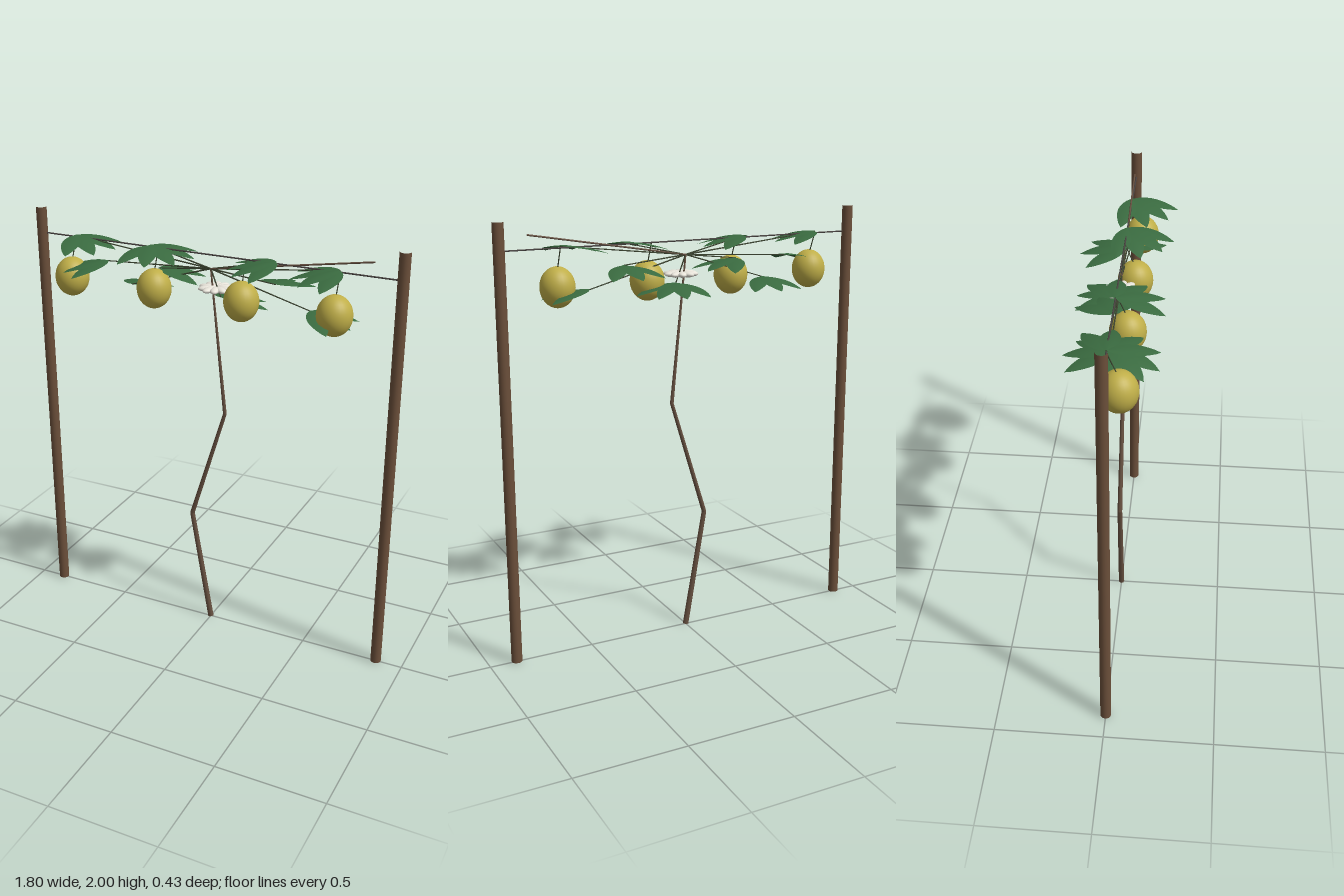
import * as THREE from 'three';

const mat = (name, color, side = THREE.FrontSide) => {
  const m = new THREE.MeshStandardMaterial({ color, side });
  m.name = name;
  return m;
};

// Tapered rod between two points
function rod(name, a, b, r0, r1, material, sides = 8, open = false) {
  const p = new THREE.Vector3(...a), q = new THREE.Vector3(...b);
  const dir = q.clone().sub(p);
  const mesh = new THREE.Mesh(new THREE.CylinderGeometry(r1, r0, dir.length(), sides, 1, open), material);
  mesh.position.copy(p).add(q).multiplyScalar(0.5);
  mesh.quaternion.setFromUnitVectors(new THREE.Vector3(0, 1, 0), dir.normalize());
  mesh.name = name;
  return mesh;
}

// Pointed leaf along +x, drooping to the tip and lightly folded at the midrib
function leafGeometry(length, width, droop) {
  const g = new THREE.PlaneGeometry(1, 1, 10, 4);
  g.rotateX(-Math.PI / 2);
  const p = g.attributes.position;
  for (let i = 0; i < p.count; i++) {
    const t = p.getX(i) + 0.5, s = p.getZ(i) * 2;
    const half = (width / 2) * Math.pow(Math.sin(Math.PI * Math.pow(t, 0.9)), 0.8);
    p.setXYZ(i, t * length, -droop * t * t - 0.1 * half * Math.abs(s), s * (half || 0));
  }
  g.computeVertexNormals();
  return g;
}

export function createModel() {
  const group = new THREE.Group();
  const wood = mat('post wood', 0x6b4f3a);
  const bark = mat('vine bark', 0x665040);
  const shoot = mat('shoot', 0x3c4530);
  const wireMat = mat('wire', 0x4a4442);
  const green = mat('leaf green', 0x3a6b40, THREE.DoubleSide);
  const yellow = mat('fruit yellow', 0xbfae48);
  const white = mat('petal white', 0xe8e4da);

  // Trellis: two posts and a wire
  for (const s of [1, -1])
    group.add(rod(s > 0 ? 'leftPost' : 'rightPost', [s * 0.873, 0, 0], [s * 0.873, 2, 0], 0.025, 0.025, wood, 16, true));
  group.add(rod('trellisWire', [-0.873, 1.878, 0], [0.873, 1.878, 0], 0.0035, 0.0035, wireMat, 6));

  // Crooked main stem, thinning upwards
  const stem = [[0, 0, 0], [-0.1, 0.57, 0], [0.072, 1.13, 0], [0, 1.815, 0], [0.745, 1.94, 0]];
  const radii = [0.014, 0.0115, 0.009, 0.004, 0.004];
  for (let i = 0; i < 4; i++) {
    group.add(rod('mainStem', stem[i], stem[i + 1], radii[i], radii[i + 1], bark));
    const joint = new THREE.Mesh(new THREE.SphereGeometry(radii[i + 1], 8, 6), bark);
    joint.position.set(...stem[i + 1]);
    joint.name = 'stemJoint';
    group.add(joint);
  }

  // Shoots, each ending in a fan of leaves: x, y, first angle, last angle, leaf count
  const fans = [
    [-0.69, 1.885, -32, 72, 4], [-0.3, 1.885, -38, 105, 5], [0.31, 1.885, 100, 190, 4], [0.6, 1.885, 93, 190, 4],
    [-0.52, 1.785, 112, 165, 3], [-0.26, 1.785, -60, 10, 3], [0.31, 1.785, -125, -55, 3],
    [-0.4, 1.69, -118, -52, 3], [0.05, 1.69, -110, -10, 4], [0.47, 1.69, -20, 50, 3],
  ];
  const leaf = leafGeometry(0.215, 0.085, 0.042);
  for (const [x, y, a0, a1, n] of fans) {
    group.add(rod('shoot', [0, 1.815, 0], [x, y, 0], 0.0035, 0.0025, shoot, 6));
    const fan = new THREE.Group();
    fan.name = 'leafFan';
    fan.position.set(x, y, 0);
    for (let i = 0; i < n; i++) {
      const blade = new THREE.Mesh(leaf, green);
      blade.name = 'leaf';
      blade.rotation.y = -THREE.MathUtils.degToRad(a0 + ((a1 - a0) * i) / (n - 1));
      blade.position.y = 0.002 * (i % 2);
      fan.add(blade);
    }
    group.add(fan);
  }

  // Hanging fruit
  const fruitGeometry = new THREE.SphereGeometry(1, 28, 20);
  for (let i = 0; i < 4; i++) {
    const x = -0.69 + 0.43 * i;
    const fruit = new THREE.Mesh(fruitGeometry, yellow);
    fruit.name = 'fruit';
    fruit.scale.set(0.079, 0.091, 0.079);
    fruit.position.set(x, 1.703, 0.048);
    group.add(fruit, rod('fruitStalk', [x, 1.878, 0], [x, 1.785, 0.04], 0.0025, 0.0025, shoot, 6));
  }

  // Open flower: a ring of flattened petals
  const flower = new THREE.Group();
  flower.name = 'flower';
  flower.position.set(0.025, 1.731, 0);
  const petalGeometry = new THREE.SphereGeometry(1, 14, 8);
  for (let i = 0; i < 10; i++) {
    const a = (i / 10) * Math.PI * 2;
    const petal = new THREE.Mesh(petalGeometry, white);
    petal.name = 'petal';
    petal.scale.set(0.04, 0.013, 0.021);
    petal.position.set(Math.cos(a) * 0.041, 0, Math.sin(a) * 0.041);
    petal.rotation.y = -a;
    flower.add(petal);
  }
  group.add(flower);
  return group;
}
